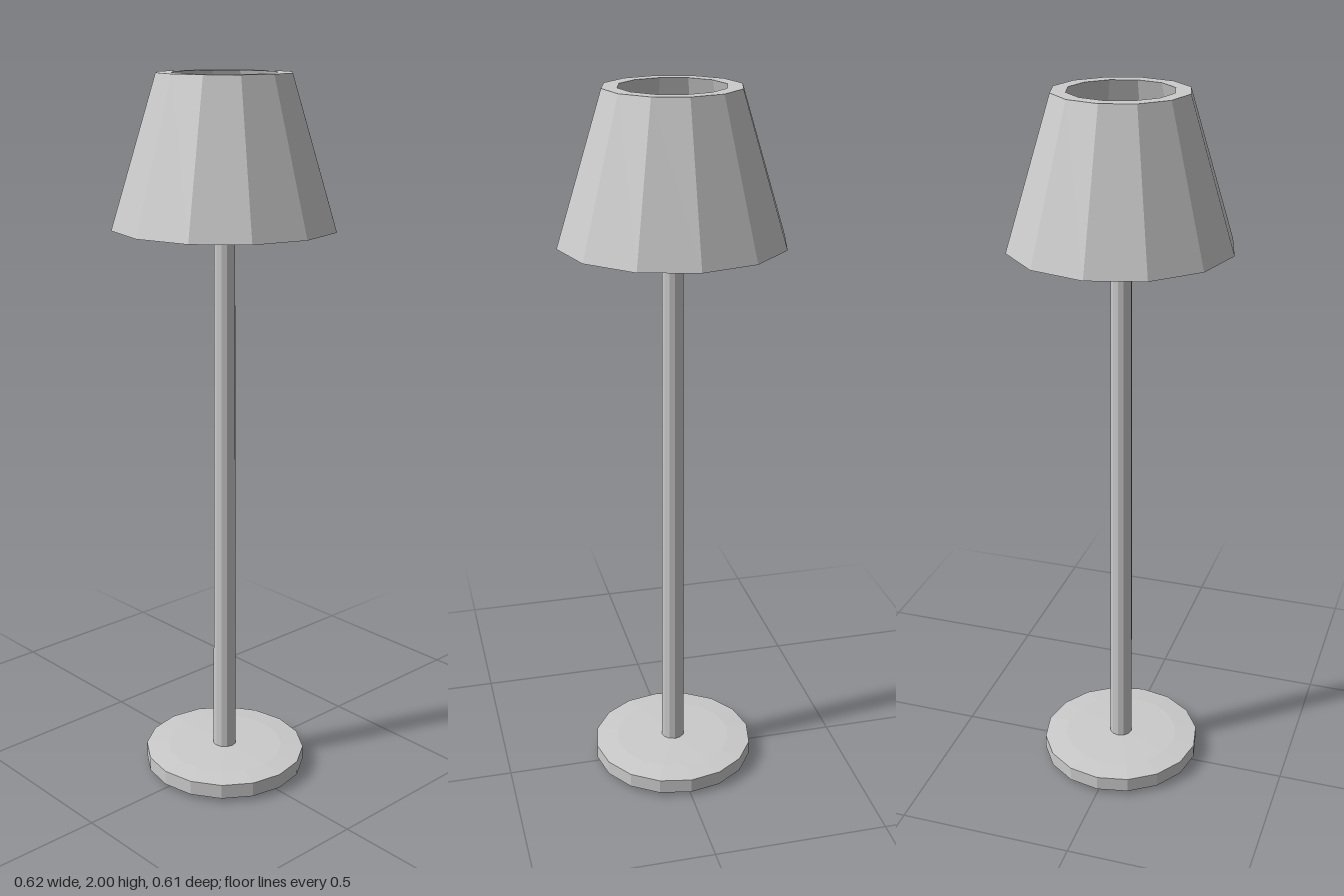
import * as THREE from 'three';

const material = new THREE.MeshStandardMaterial({ color: 0xcccccc, flatShading: true });

// Faceted solid of revolution; the profile runs [radius, height], outer side upwards
function turned(name, profile, sides) {
  const points = profile.map(([r, y]) => new THREE.Vector2(r, y));
  const mesh = new THREE.Mesh(new THREE.LatheGeometry(points, sides), material);
  mesh.name = name;
  mesh.scale.z = 0.985;
  return mesh;
}

export function createModel() {
  const lamp = new THREE.Group();
  lamp.name = 'floorLamp';

  // Round foot with slightly domed faces
  lamp.add(turned('base', [[0, 0], [0.17, 0.006], [0.235, 0.012], [0.235, 0.054], [0.17, 0.06], [0, 0.065]], 16));

  // Slightly tapered post
  lamp.add(turned('pole', [[0, 0.05], [0.034, 0.05], [0.028, 1.935], [0, 1.935]], 12));

  // Thick-walled conical shade, open at both ends
  lamp.add(turned('shade', [[0.308, 1.6], [0.183, 2], [0.142, 2], [0.246, 1.6], [0.308, 1.6]], 12));

  // Four spokes at the top of the post, narrowing towards their tips
  const spokes = new THREE.Group();
  spokes.name = 'shadeSpokes';
  const length = 0.135;
  const spokeGeometry = new THREE.BoxGeometry(length, 0.028, 0.02).translate(length / 2, 0, 0);
  const position = spokeGeometry.attributes.position;
  for (let i = 0; i < position.count; i++) {
    if (position.getX(i) > 0.1) position.setZ(i, position.getZ(i) * 0.8);
  }
  for (let i = 0; i < 4; i++) {
    const spoke = new THREE.Mesh(spokeGeometry, material);
    spoke.name = 'spoke';
    spoke.rotation.y = (i * Math.PI) / 2;
    spokes.add(spoke);
  }
  spokes.position.y = 1.93;
  lamp.add(spokes);

  return lamp;
}
